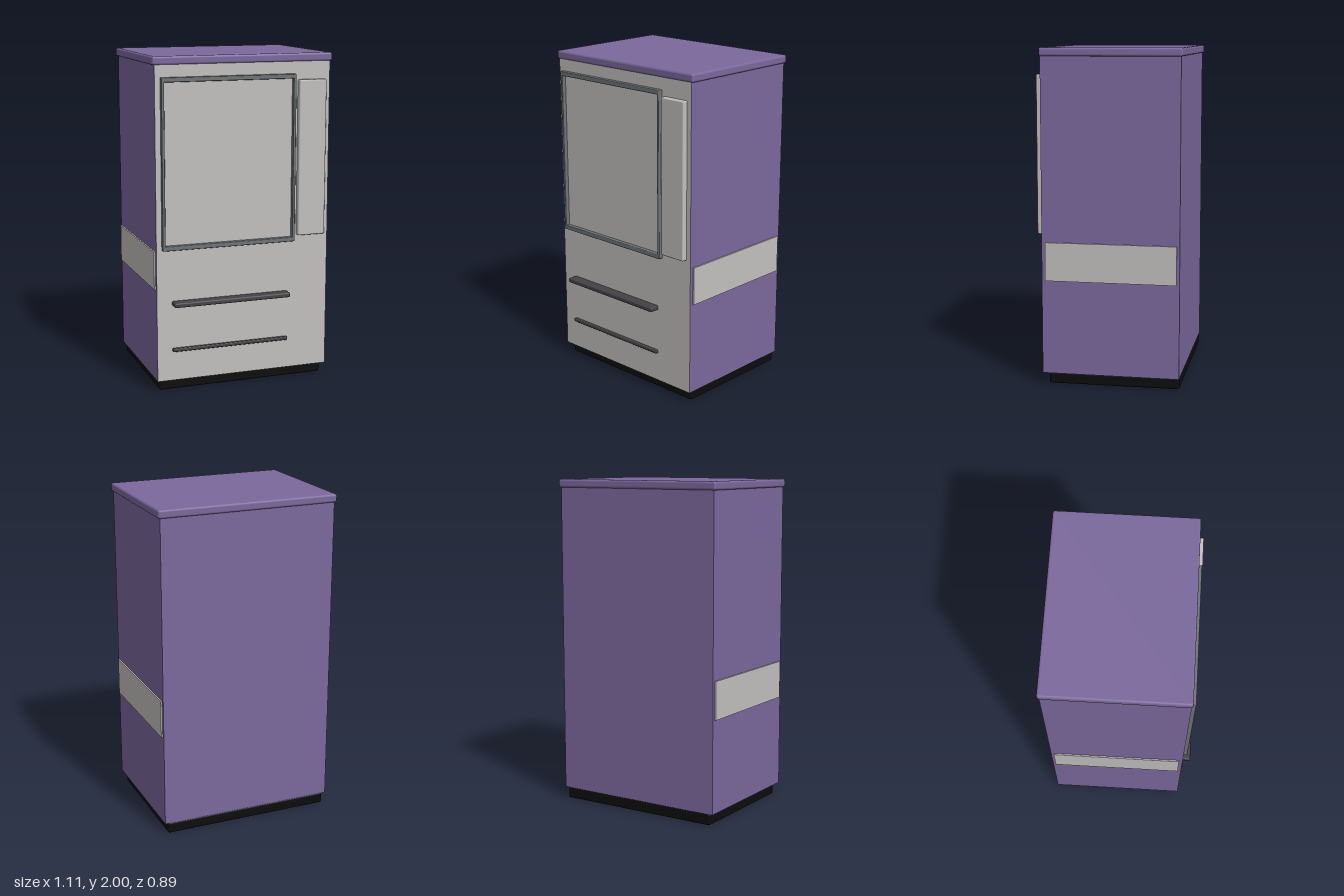
import * as THREE from 'three';
import { RoundedBoxGeometry } from 'three/addons/geometries/RoundedBoxGeometry.js';

const material = (name, color) => {
  const m = new THREE.MeshStandardMaterial({ color });
  m.name = name;
  return m;
};

export function createModel() {
  const model = new THREE.Group();
  const purple = material('purple', 0x7a689c);
  const lightGrey = material('light grey', 0xc2c0be);
  const frameGrey = material('frame grey', 0x6f7478);
  const handleGrey = material('handle grey', 0x434346);
  const black = material('black', 0x0c0c0c);

  // Box given by its extents; a radius above zero softens the edges
  const box = (name, mat, [x0, x1], [y0, y1], [z0, z1], radius = 0, parent = model) => {
    const size = [x1 - x0, y1 - y0, z1 - z0];
    const geometry = radius > 0
      ? new RoundedBoxGeometry(...size, 3, radius)
      : new THREE.BoxGeometry(...size);
    const mesh = new THREE.Mesh(geometry, mat);
    mesh.name = name;
    mesh.position.set((x0 + x1) / 2, (y0 + y1) / 2, (z0 + z1) / 2);
    parent.add(mesh);
    return mesh;
  };

  // Plinth, cabinet (grey front and underside) and lid
  box('plinth', black, [-0.523, 0.523], [0, 0.07], [-0.434, 0.35], 0.012);
  box('cabinet', [purple, purple, purple, lightGrey, lightGrey, purple],
    [-0.543, 0.543], [0.068, 1.96], [-0.435, 0.386]);
  box('lid', purple, [-0.557, 0.557], [1.95, 2], [-0.445, 0.392], 0.013);

  // Pale band on each side
  for (const side of [-1, 1]) {
    const band = box('sideBand', lightGrey, [-0.0045, 0.0045], [0.632, 0.862], [-0.417, 0.364]);
    band.position.x = side * 0.5475;
  }

  // Window frame made of four bars
  const frame = new THREE.Group();
  frame.name = 'windowFrame';
  model.add(frame);
  const depth = [0.38, 0.413];
  for (const y of [0.87, 1.853]) {
    box('frameRail', frameGrey, [-0.51, 0.32], [y, y + 0.027], depth, 0.005, frame);
  }
  for (const x of [-0.51, 0.303]) {
    box('frameStile', frameGrey, [x, x + 0.017], [0.875, 1.875], depth, 0.005, frame);
  }

  // Raised control panel beside the window
  box('controlPanel', lightGrey, [0.338, 0.512], [0.905, 1.845], [0.38, 0.418], 0.008);

  // Deep handle above, slim handle below
  box('upperHandle', handleGrey, [-0.45, 0.283], [0.53, 0.559], [0.375, 0.445], 0.009);
  box('lowerHandle', handleGrey, [-0.45, 0.283], [0.248, 0.269], [0.375, 0.406], 0.006);

  return model;
}
